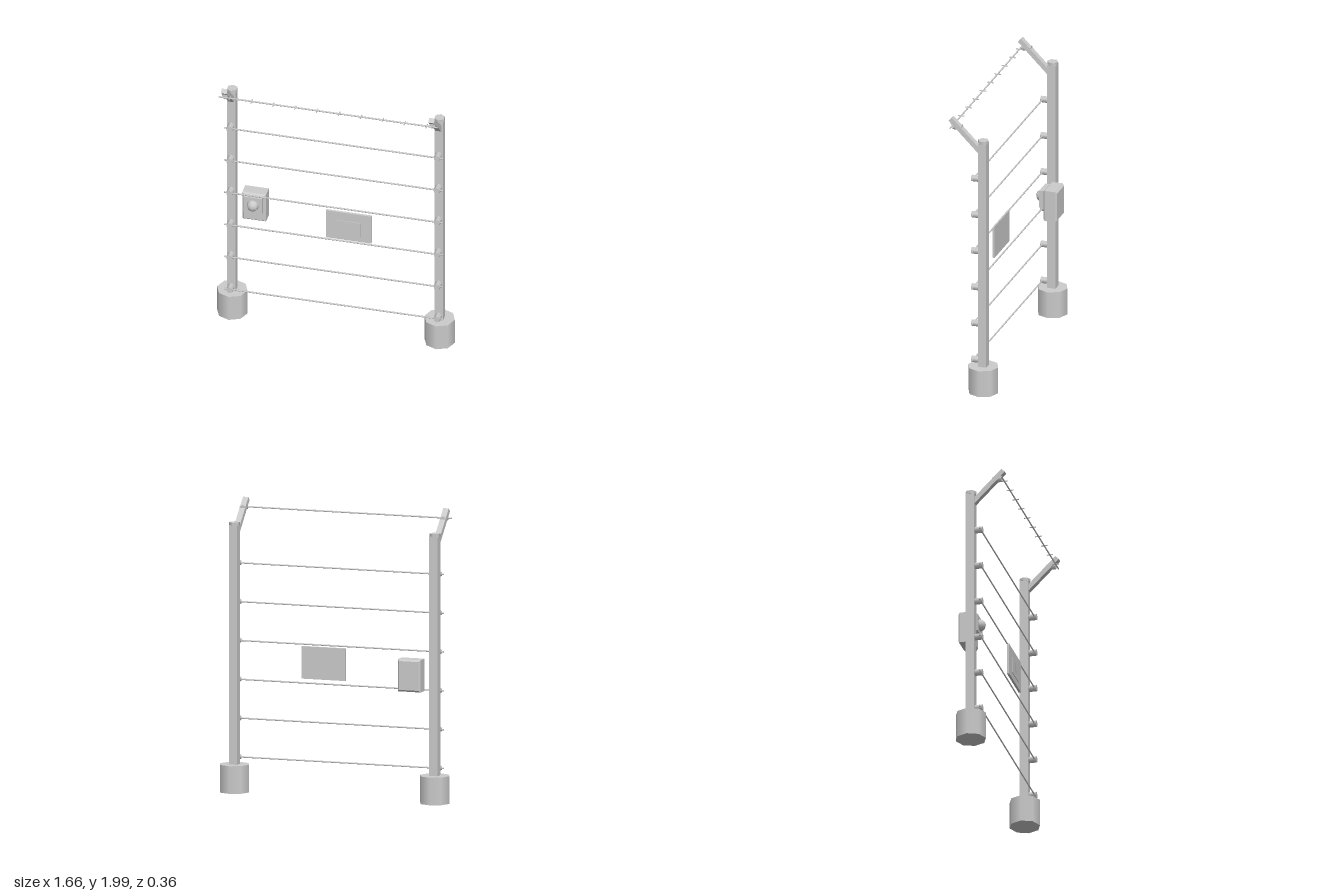
import * as THREE from 'three';

export function createModel() {
  const model = new THREE.Group();
  const grey = new THREE.MeshStandardMaterial({ color: 0xcccccc });
  grey.name = 'light grey';

  const add = (name, geometry, x, y, z, parent = model) => {
    const mesh = new THREE.Mesh(geometry, grey);
    mesh.name = name;
    mesh.position.set(x, y, z);
    parent.add(mesh);
    return mesh;
  };
  const box = (w, h, d) => new THREE.BoxGeometry(w, h, d);
  const rod = (r, length, sides) => new THREE.CylinderGeometry(r, r, length, sides);

  const postX = 0.725, postZ = -0.07;
  const wireHeights = Array.from({ length: 6 }, (_, i) => 0.23 + i * 0.2667);
  const topY = 1.926, topZ = 0.155;

  // Posts with footing, cap, leaning arm and insulators
  for (const side of [-1, 1]) {
    const post = new THREE.Group();
    post.name = side > 0 ? 'leftPost' : 'rightPost';
    post.position.x = side * postX;
    model.add(post);
    add('footing', rod(0.106, 0.19, 8), 0, 0.095, postZ, post);
    add('upright', box(0.06, 1.65, 0.06), 0, 1.01, postZ, post);
    add('cap', rod(0.038, 0.022, 6), 0, 1.842, postZ, post);

    // Arm leans forward at 45 degrees
    const arm = add('arm', box(0.04, 0.3, 0.034), 0, 1.876, 0.055, post);
    arm.rotation.x = Math.PI / 4;

    for (const y of wireHeights) {
      add('insulator', rod(0.024, 0.054, 6), 0, y, -0.014, post).rotation.x = Math.PI / 2;
    }
    add('armInsulator', rod(0.022, 0.064, 6), 0, topY, 0.114, post).rotation.x = Math.PI / 2;
  }

  // Straight wires
  for (const y of wireHeights) {
    add('wire', rod(0.0055, 1.53, 6), 0, y, 0).rotation.z = Math.PI / 2;
  }

  // Barbed top wire
  add('barbedWire', rod(0.0055, 1.53, 6), 0, topY, topZ).rotation.z = Math.PI / 2;
  for (let i = 0; i < 10; i++) {
    add('barb', rod(0.004, 0.045, 5), -0.688 + i * 0.153, topY, topZ).rotation.x = Math.PI / 2;
  }

  // Warning sign with raised panel and slanted bolt
  add('sign', box(0.318, 0.223, 0.016), 0.111, 0.902, 0.014);
  add('signPanel', box(0.17, 0.115, 0.004), 0.111, 0.89, 0.024);
  add('signBolt', box(0.02, 0.075, 0.005), 0.111, 0.898, 0.028).rotation.z = 0.45;

  // Control box with chamfered edges, raised panel and round lamp
  const bevel = 0.012;
  const w = 0.165 / 2 - bevel, h = 0.222 / 2 - bevel;
  const outline = new THREE.Shape([
    new THREE.Vector2(-w, -h), new THREE.Vector2(w, -h),
    new THREE.Vector2(w, h), new THREE.Vector2(-w, h),
  ]);
  const casing = new THREE.ExtrudeGeometry(outline, {
    depth: 0.076, bevelThickness: bevel, bevelSize: bevel, bevelSegments: 1,
  });
  add('controlBox', casing, -0.576, 0.881, -0.166);
  add('controlPanel', box(0.13, 0.125, 0.04), -0.576, 0.918, -0.066);
  add('lamp', new THREE.SphereGeometry(0.042, 8, 6), -0.576, 0.919, -0.045);

  return model;
}
